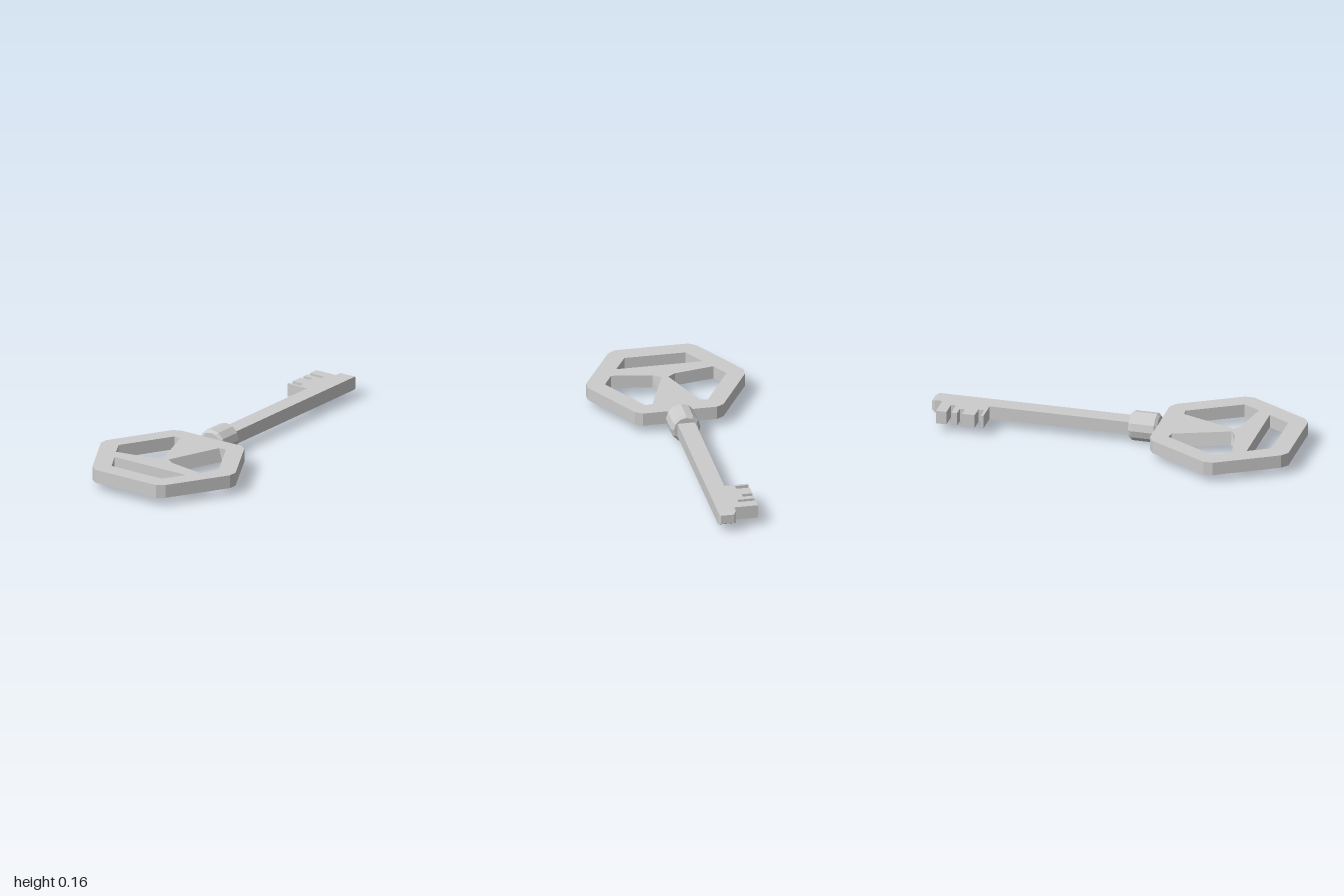
import * as THREE from 'three';

const Y0 = 0.046, Y1 = 0.118, MID = 0.082; // bottom, top and axis height of the flat parts

// Points are [x, z] in plan
const toVectors = (pts) => pts.map(([x, z]) => new THREE.Vector2(x, -z));
const mirrorZ = (pts) => pts.map(([x, z]) => [x, -z]);

// Flat plate from a counter-clockwise plan outline with optional holes
function plate(outline, holes = []) {
  const shape = new THREE.Shape(toVectors(outline));
  shape.holes = holes.map((h) => new THREE.Path(toVectors(h)));
  return new THREE.ExtrudeGeometry(shape, { depth: Y1 - Y0, bevelEnabled: false })
    .rotateX(-Math.PI / 2).translate(0, Y0, 0);
}

export function createModel() {
  const key = new THREE.Group();
  key.name = 'key';
  const material = new THREE.MeshStandardMaterial({ color: 0xcccccc, flatShading: true });
  const add = (name, geometry) => {
    const mesh = new THREE.Mesh(geometry, material);
    mesh.name = name;
    key.add(mesh);
  };

  // Hexagonal bow with blunted corners, pierced so a crossbar and wedge remain
  const front = [[-1, 0.2], [-0.97, 0.24], [-0.645, 0.425],
    [-0.595, 0.425], [-0.265, 0.24], [-0.24, 0.2]];
  const bowOutline = [...front, ...mirrorZ(front).reverse()];
  const slot = [[-0.9, -0.165], [-0.78, -0.235], [-0.78, 0.235], [-0.9, 0.165]];
  const window = [[-0.71, -0.277], [-0.617, -0.328], [-0.335, -0.17],
    [-0.34, -0.148], [-0.64, -0.038], [-0.67, -0.06]];
  const bow = plate(bowOutline, [slot, window, mirrorZ(window)]);

  // Slope the wedge sides by drawing its top corners inward
  const p = bow.attributes.position;
  for (let i = 0; i < p.count; i++) {
    const x = p.getX(i), z = p.getZ(i);
    if (p.getY(i) > MID && x > -0.65 && x < -0.3 && Math.abs(z) < 0.16) {
      p.setZ(i, z - Math.sign(z) * 0.02);
    }
  }
  bow.computeVertexNormals();
  add('bow', bow);

  // Twelve-sided collar with chamfered rims
  const collarProfile = [[0, -0.241], [0.066, -0.241], [0.08, -0.226],
    [0.08, -0.1], [0.066, -0.084], [0, -0.084]].map(([r, x]) => new THREE.Vector2(r, x));
  add('collar', new THREE.LatheGeometry(collarProfile, 12)
    .rotateZ(-Math.PI / 2).translate(0, MID, 0));

  // Square shaft and notched bit in one outline
  add('shaftAndBit', plate([[-0.15, 0.047], [0.98, 0.047], [0.98, -0.048],
    [0.94, -0.048], [0.94, -0.176], [0.882, -0.176], [0.882, -0.083],
    [0.856, -0.083], [0.856, -0.176], [0.824, -0.176], [0.824, -0.118],
    [0.797, -0.118], [0.797, -0.176], [0.727, -0.176], [0.727, -0.103],
    [0.695, -0.103], [0.695, -0.176], [0.68, -0.176], [0.68, -0.048], [-0.15, -0.048]]));

  // Chamfered tip
  const tip = new THREE.BoxGeometry(0.02, Y1 - Y0, 0.095);
  const t = tip.attributes.position;
  for (let i = 0; i < t.count; i++) {
    if (t.getX(i) > 0) {
      t.setY(i, t.getY(i) * 0.68);
      t.setZ(i, t.getZ(i) * 0.76);
    }
  }
  tip.computeVertexNormals();
  add('tip', tip.translate(0.99, MID, 0));

  return key;
}
